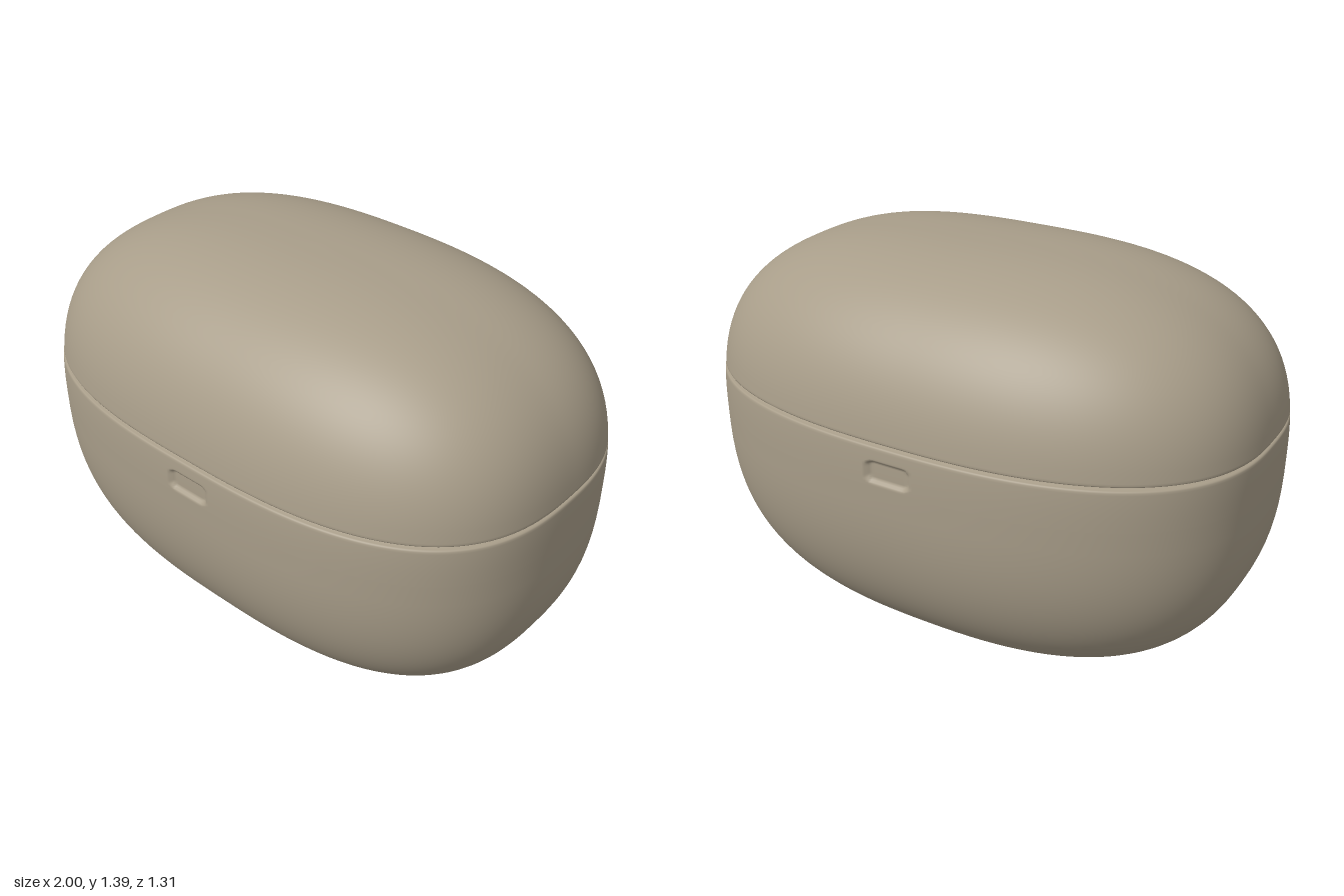
import * as THREE from 'three';

const SEGMENTS = 600;
const MID = 0.75, LOW = 0.75, HIGH = 0.645; // widest height, drop below it, rise above it
const SEAM = 0.893;

// Depth of the shallow rounded notch at a point on the front or back wall
function notchDepth(x, y) {
  const r = 0.022;
  const dx = Math.max(Math.abs(x) - 0.078 + r, 0);
  const dy = Math.max(Math.abs(y - 0.802) - 0.036 + r, 0);
  return 0.014 * (1 - THREE.MathUtils.smoothstep(Math.hypot(dx, dy) - r, -0.008, 0.004));
}

// Stack of rounded-oblong rings; each ring is [height, inset]
function shell(rings, halfDepth, notched) {
  const positions = [], index = [];
  rings.forEach(([y, inset], i) => {
    const t = Math.min(1, Math.abs(y - MID) / (y < MID ? LOW : HIGH));
    const rx = Math.max(0, Math.pow(1 - Math.pow(t, 2.85), 1 / 2.85) - inset);
    const rz = Math.max(0, halfDepth * Math.pow(1 - Math.pow(t, 2.5), 1 / 2.5) - inset);
    // the seam dips slightly towards the front
    const tilt = 0.014 * (y < SEAM ? y / SEAM : (MID + HIGH - y) / (MID + HIGH - SEAM));
    for (let j = 0; j < SEGMENTS; j++) {
      const a = (j / SEGMENTS) * Math.PI * 2;
      const u = Math.cos(a), v = Math.sin(a);
      const n = v > 0 ? 2.75 : 2.5; // front is a little squarer than the back
      const k = Math.pow(Math.pow(Math.abs(u), n) + Math.pow(Math.abs(v), n), -1 / n);
      const x = u * k * rx;
      let z = v * k * rz;
      if (notched && Math.abs(z) > 0.4) z -= Math.sign(z) * notchDepth(x, y);
      positions.push(x, y - tilt * z, z);
      if (i < rings.length - 1) {
        const p = i * SEGMENTS + j, q = i * SEGMENTS + ((j + 1) % SEGMENTS);
        index.push(p, p + SEGMENTS, q, q, p + SEGMENTS, q + SEGMENTS);
      }
    }
  });
  const geometry = new THREE.BufferGeometry();
  geometry.setAttribute('position', new THREE.Float32BufferAttribute(positions, 3));
  geometry.setIndex(index);
  geometry.computeVertexNormals();
  return geometry;
}

export function createModel() {
  const group = new THREE.Group();
  group.name = 'earbudCase';
  const taupe = new THREE.MeshStandardMaterial({ color: 0xa89d89 });
  taupe.name = 'taupe';

  const add = (name, geometry) => {
    const mesh = new THREE.Mesh(geometry, taupe);
    mesh.name = name;
    group.add(mesh);
  };

  // Base: rounded bowl, fine rings around the notch, then the rolled rim
  const base = [];
  for (let i = 0; i <= 32; i++) {
    base.push([MID - LOW * Math.pow(Math.cos((i / 32) * Math.PI / 2), 0.75), 0]);
  }
  for (let y = 0.755; y < 0.876; y += 0.005) base.push([y, 0]);
  base.push([0.882, 0], [0.886, 0.002], [0.888, 0.006], [0.889, 0.016], [0.8925, 0.018], [0.8925, 0.1]);
  add('base', shell(base, 0.655, true));

  // Lid: rim mirrored from the base, then the dome
  const lid = [[0.8935, 0.1], [0.8935, 0.018], [0.896, 0.016], [0.897, 0.006], [0.899, 0.002], [0.903, 0]];
  const start = Math.asin(Math.pow((0.91 - MID) / HIGH, 1 / 0.75));
  for (let i = 0; i <= 32; i++) {
    const phi = start + (i / 32) * (Math.PI / 2 - start);
    lid.push([MID + HIGH * Math.pow(Math.sin(phi), 0.75), 0]);
  }
  add('lid', shell(lid, 0.651, false));

  return group;
}
